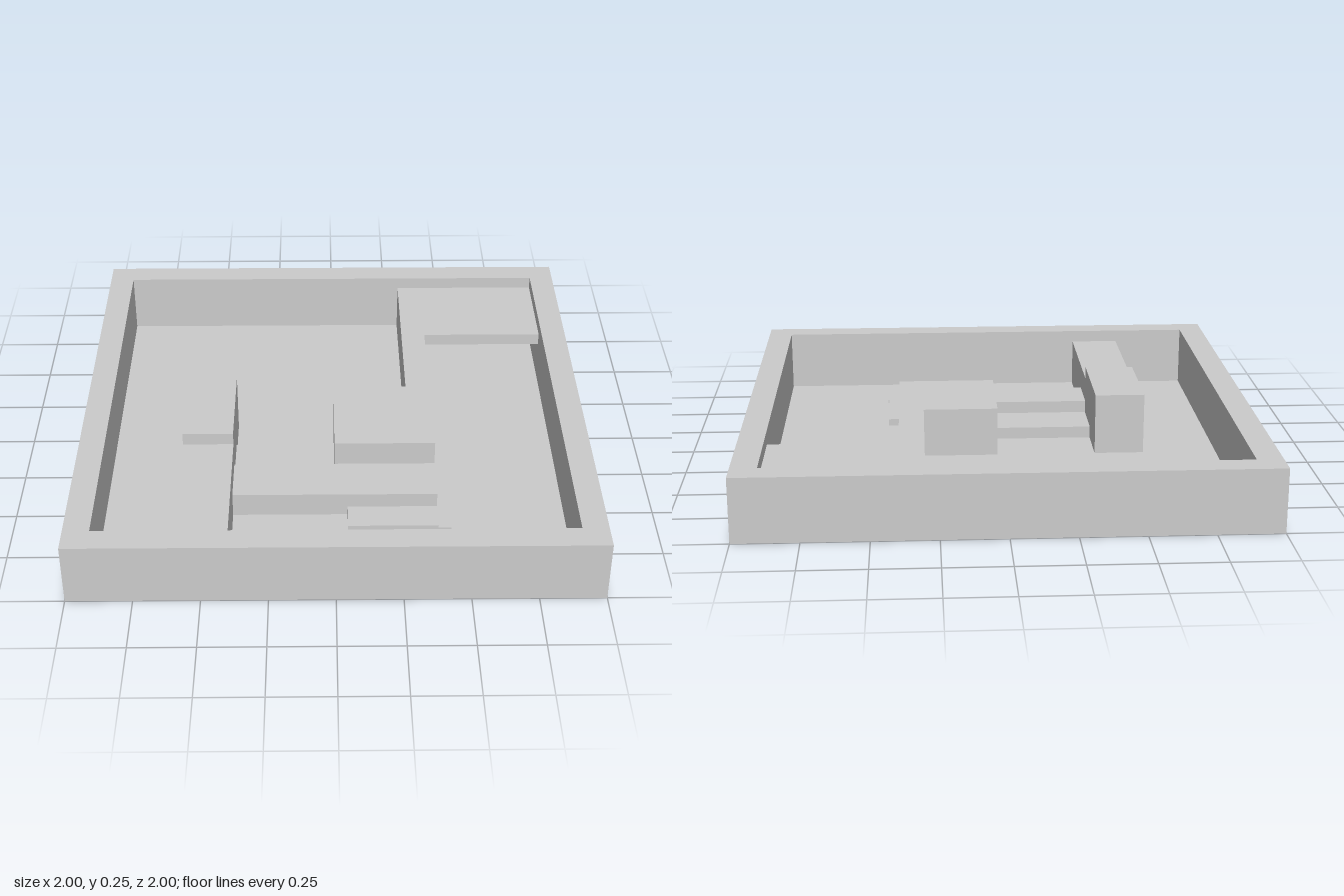
import * as THREE from 'three';

const material = new THREE.MeshStandardMaterial({ color: 0xcccccc, flatShading: true });

// Box given by its x, y and z ranges
function block(name, [x0, x1], [y0, y1], [z0, z1]) {
  const mesh = new THREE.Mesh(new THREE.BoxGeometry(x1 - x0, y1 - y0, z1 - z0), material);
  mesh.position.set((x0 + x1) / 2, (y0 + y1) / 2, (z0 + z1) / 2);
  mesh.name = name;
  return mesh;
}

// Plan outline of [x, z] points, raised from the ground to the given height
function raisedPlan(name, outline, height) {
  const shape = new THREE.Shape(outline.map(([x, z]) => new THREE.Vector2(x, -z)));
  const geometry = new THREE.ExtrudeGeometry(shape, { depth: height, bevelEnabled: false });
  geometry.rotateX(-Math.PI / 2);
  const mesh = new THREE.Mesh(geometry, material);
  mesh.name = name;
  return mesh;
}

// Square ring of wall, open in the middle
function squareWall(name, outer, inner, height) {
  const corners = (r) => [[-r, -r], [r, -r], [r, r], [-r, r]].map(([x, y]) => new THREE.Vector2(x, y));
  const shape = new THREE.Shape(corners(outer));
  shape.holes.push(new THREE.Path(corners(inner).reverse()));
  const geometry = new THREE.ExtrudeGeometry(shape, { depth: height, bevelEnabled: false });
  geometry.rotateX(-Math.PI / 2);
  const mesh = new THREE.Mesh(geometry, material);
  mesh.name = name;
  return mesh;
}

export function createModel() {
  const model = new THREE.Group();
  model.name = 'walledCourse';

  // Thin floor and surrounding wall
  model.add(block('floor', [-0.9, 0.9], [0, 0.002], [-0.9, 0.9]));
  model.add(squareWall('outerWall', 1, 0.9, 0.25));

  // Solid angled walkway, with a thin deck bridging to the outer wall
  model.add(raisedPlan('walkway', [
    [0.3, -0.9], [0.4, -0.9], [0.4, 0.3], [0, 0.3], [0, -0.1], [0.3, -0.1],
  ], 0.2));
  model.add(block('bridgeDeck', [0.4, 0.9], [0.15, 0.2], [-0.9, -0.5]));

  // Inner wall with a taller end
  model.add(block('innerWallTall', [-0.6, -0.4], [0, 0.25], [-0.1, 0.3]));
  model.add(block('innerWallLow', [-0.6, -0.4], [0, 0.2], [0.3, 0.9]));

  // Steps between the inner wall and the walkway
  model.add(block('lowerStep', [-0.4, 0], [0, 0.05], [0.1, 0.3]));
  model.add(block('upperStep', [-0.4, 0.4], [0, 0.1], [0.3, 0.5]));

  // Low slabs at the foot of the steps
  model.add(block('frontSlab', [0.05, 0.4], [0, 0.04], [0.5, 0.62]));
  model.add(block('sideSlab', [0.4, 0.45], [0, 0.03], [0.3, 0.62]));
  model.add(block('edgeSlab', [0.25, 0.455], [0, 0.015], [0.62, 0.66]));

  return model;
}
